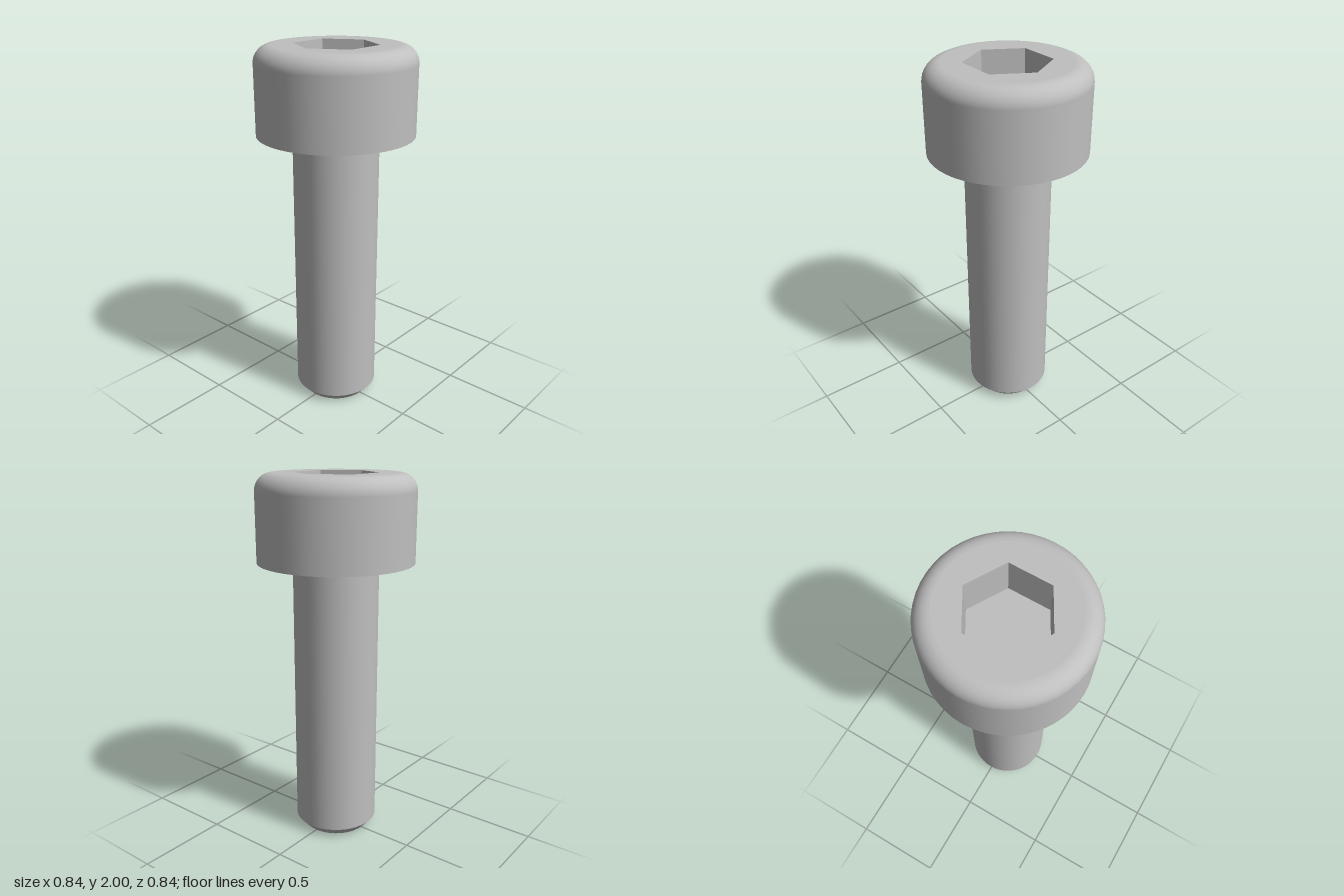
import * as THREE from 'three';

const SEGMENTS = 48;
const HEAD_R = 0.42, HEAD_BOTTOM = 1.54, TOP = 2, FILLET = 0.09;
const SHANK_R = 0.23, TIP_R = 0.185, CHAMFER = 0.05;
const HEX_R = 0.223, HEX_DEPTH = 0.23;

export function createModel() {
  const model = new THREE.Group();
  model.name = 'socketHeadBolt';
  const steel = new THREE.MeshStandardMaterial({ color: 0xbfbfbf });
  steel.name = 'steel';

  const add = (name, geometry, y = 0) => {
    const mesh = new THREE.Mesh(geometry, steel);
    mesh.name = name;
    mesh.position.y = y;
    model.add(mesh);
  };
  // Separate profiles keep the edges between them sharp
  const lathe = (points) =>
    new THREE.LatheGeometry(points.map(([x, y]) => new THREE.Vector2(x, y)), SEGMENTS);

  // Shank with chamfered tip
  add('tipFace', new THREE.CircleGeometry(TIP_R, SEGMENTS).rotateX(Math.PI / 2));
  add('tipChamfer', lathe([[TIP_R, 0], [SHANK_R, CHAMFER]]));
  add('shank', lathe([[SHANK_R, CHAMFER], [SHANK_R, HEAD_BOTTOM]]));

  // Head: underside, then wall rolling into the rounded rim
  add('headUnderside', lathe([[SHANK_R, HEAD_BOTTOM], [HEAD_R, HEAD_BOTTOM]]));
  const wall = [[HEAD_R, HEAD_BOTTOM]];
  for (let i = 0; i <= 10; i++) {
    const a = (i / 10) * Math.PI / 2;
    wall.push([HEAD_R - FILLET + FILLET * Math.cos(a), TOP - FILLET + FILLET * Math.sin(a)]);
  }
  add('headWall', lathe(wall));

  // Flat top with a hexagonal opening
  const face = new THREE.Shape().absarc(0, 0, HEAD_R - FILLET, 0, Math.PI * 2, false);
  const hexagon = [];
  for (let i = 0; i < 6; i++) {
    const a = -i * Math.PI / 3;
    hexagon.push(new THREE.Vector2(HEX_R * Math.cos(a), HEX_R * Math.sin(a)));
  }
  face.holes.push(new THREE.Path(hexagon));
  add('headTop', new THREE.ShapeGeometry(face, SEGMENTS).rotateX(-Math.PI / 2), TOP);

  // Socket walls, mirrored so that they face inward, and the floor
  const walls = new THREE.CylinderGeometry(HEX_R, HEX_R, HEX_DEPTH, 6, 1, true, Math.PI / 2)
    .scale(-1, 1, 1).toNonIndexed();
  walls.computeVertexNormals();
  add('socketWalls', walls, TOP - HEX_DEPTH / 2);
  add('socketFloor', new THREE.CircleGeometry(HEX_R, 6).rotateX(-Math.PI / 2), TOP - HEX_DEPTH);

  return model;
}
